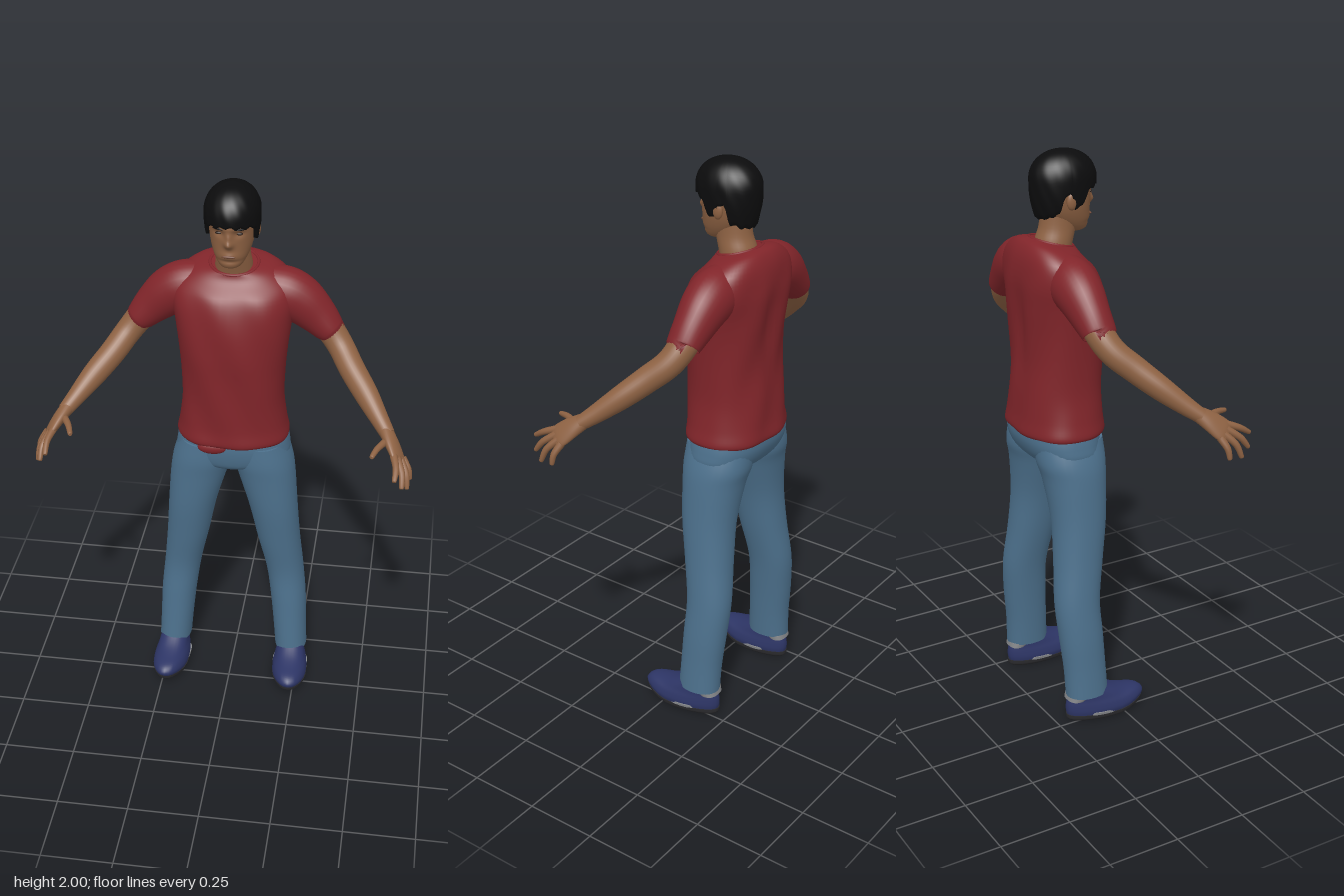
import * as THREE from 'three';

const paint = (name, color) => {
  const m = new THREE.MeshStandardMaterial({ color });
  m.name = name;
  return m;
};
const V = (x, y, z) => new THREE.Vector3(x, y, z);
const bump = (d, w) => Math.exp(-(d * d) / (w * w));

// Smooth interpolation between the rows of a section table
function refine(rows, sub) {
  const out = [];
  for (let i = 0; i < rows.length - 1; i++) {
    const a = rows[Math.max(i - 1, 0)], b = rows[i], c = rows[i + 1], d = rows[Math.min(i + 2, rows.length - 1)];
    for (let k = 0; k < sub; k++) {
      const t = k / sub;
      out.push(b.map((_, j) => 0.5 * (2 * b[j] + (c[j] - a[j]) * t + (2 * a[j] - 5 * b[j] + 4 * c[j] - d[j]) * t * t
        + (3 * b[j] - a[j] - 3 * c[j] + d[j]) * t * t * t)));
    }
  }
  out.push(rows[rows.length - 1]);
  return out;
}

// Skin a stack of closed rings of points, with a crisp cap on both ends
function skin(rings) {
  const n = rings[0].length, pos = [], idx = [];
  rings.forEach(r => r.forEach(p => pos.push(p.x, p.y, p.z)));
  for (let i = 0; i < rings.length - 1; i++) for (let j = 0; j < n; j++) {
    const a = i * n + j, b = i * n + (j + 1) % n;
    idx.push(a, b, a + n, b, b + n, a + n);
  }
  [[rings[0], true], [rings[rings.length - 1], false]].forEach(([r, first]) => {
    const base = pos.length / 3, mid = V(0, 0, 0);
    r.forEach(p => { pos.push(p.x, p.y, p.z); mid.addScaledVector(p, 1 / n); });
    pos.push(mid.x, mid.y, mid.z);
    for (let j = 0; j < n; j++) {
      const a = base + j, b = base + (j + 1) % n;
      first ? idx.push(b, a, base + n) : idx.push(a, b, base + n);
    }
  });
  const g = new THREE.BufferGeometry();
  g.setAttribute('position', new THREE.Float32BufferAttribute(pos, 3));
  g.setIndex(idx);
  g.computeVertexNormals();
  return g;
}

// Loft rows [x, y, z, radius u, radius v]; without ref the rings are horizontal
function loft(rows, { ref = null, seg = 28, sub = 5, power = 2, rule = null } = {}) {
  const s = refine(rows, sub), c = s.map(r => V(r[0], r[1], r[2]));
  return skin(s.map((r, i) => {
    const t = ref ? c[Math.min(i + 1, s.length - 1)].clone().sub(c[Math.max(i - 1, 0)]).normalize() : V(0, 1, 0);
    const u = (ref || V(1, 0, 0)).clone();
    u.addScaledVector(t, -u.dot(t)).normalize();
    const v = t.clone().cross(u);
    return Array.from({ length: seg }, (_, j) => {
      const a = j / seg * Math.PI * 2, e = 2 / power, f = w => Math.sign(w) * Math.abs(w) ** e;
      const p = c[i].clone().addScaledVector(u, f(Math.cos(a)) * r[3]).addScaledVector(v, f(Math.sin(a)) * r[4]);
      if (rule) rule(p);
      return p;
    });
  }));
}
// Horizontal row from centre x, height, front z, back z and half width
const slab = ([x, y, f, b, w]) => [x, y, (f + b) / 2, w, (f - b) / 2];

function mirrored(geo) {
  const g = geo.clone().scale(-1, 1, 1), k = g.index.array;
  for (let i = 0; i < k.length; i += 3) [k[i], k[i + 1]] = [k[i + 1], k[i]];
  return g;
}

export function createModel() {
  const man = new THREE.Group();
  man.name = 'standingMan';
  const skinTone = paint('skin', 0x8e6243), shirt = paint('shirtRed', 0x81252a), jeans = paint('jeansBlue', 0x4d718d),
    hair = paint('hairBlack', 0x0c0c0d), shoe = paint('shoeNavy', 0x2d3566), sole = paint('soleDark', 0x2a2a2d),
    trim = paint('trimGrey', 0x85878a), lip = paint('lipBrown', 0x744a36), eye = paint('eyeDark', 0x2b1d16);
  const add = (name, geo, mat) => {
    const m = new THREE.Mesh(geo, mat);
    m.name = name;
    man.add(m);
  };
  const pair = (name, geo, mat) => {
    add('left' + name, geo, mat);
    add('right' + name, mirrored(geo), mat);
  };
  const blob = (x, y, z, a, b, c) => new THREE.SphereGeometry(1, 20, 12).scale(a, b, c).translate(x, y, z);

  // Shirt body, with a neckline that dips at the front and soft folds
  add('shirtBody', loft([
    [0, 1.045, 0.016, -0.268, 0.194], [0, 1.06, 0.022, -0.274, 0.199], [0, 1.11, 0.018, -0.268, 0.189],
    [0, 1.2, 0.02, -0.262, 0.178], [0, 1.3, 0.023, -0.255, 0.18], [0, 1.4, 0.027, -0.257, 0.188],
    [0, 1.5, 0.022, -0.264, 0.2], [0, 1.58, 0.005, -0.268, 0.211], [0, 1.64, -0.025, -0.26, 0.195],
    [0, 1.68, -0.053, -0.235, 0.14], [0, 1.698, -0.06, -0.207, 0.086]].map(slab), {
    seg: 64, power: 2.35, rule: p => {
      const k = THREE.MathUtils.smoothstep(p.y, 1.6, 1.69);
      if (p.z < -0.13) p.z += 0.012 * bump(p.x, 0.035) * bump(p.y - 1.42, 0.16);
      p.z += 0.003 * Math.sin(p.x * 40 + p.y * 18) * (1 - k);
      p.y -= (p.z + 0.13) * 0.25 * k;
    }
  }), shirt);
  add('shirtTuck', blob(-0.06, 1.035, -0.004, 0.052, 0.024, 0.018), shirt);
  add('collar', new THREE.TorusGeometry(1, 0.07, 8, 40).rotateX(Math.PI / 2).scale(0.082, 0.09, 0.073)
    .rotateX(0.245).translate(0, 1.697, -0.133), shirt);
  pair('Sleeve', loft([[0.1, 1.6, -0.145, 0.085, 0.075], [0.17, 1.59, -0.146, 0.09, 0.082],
    [0.225, 1.563, -0.147, 0.084, 0.077], [0.28, 1.515, -0.145, 0.069, 0.066],
    [0.322, 1.472, -0.14, 0.054, 0.059], [0.327, 1.466, -0.14, 0.05, 0.055]], { ref: V(0.6, 0.8, 0) }), shirt);

  // Jeans
  add('jeansHips', loft([[0, 0.925, -0.04, -0.18, 0.07], [0, 0.945, -0.015, -0.22, 0.15], [0, 0.975, -0.004, -0.247, 0.2],
    [0, 1.02, 0.002, -0.264, 0.2], [0, 1.065, 0, -0.265, 0.19]].map(slab), { seg: 48, power: 2.4 }), jeans);
  pair('TrouserLeg', loft([[0.225, 0.097, -0.05, -0.206, 0.06], [0.218, 0.2, -0.056, -0.21, 0.062],
    [0.209, 0.32, -0.062, -0.222, 0.066], [0.193, 0.45, -0.066, -0.23, 0.069], [0.169, 0.6, -0.043, -0.218, 0.078],
    [0.148, 0.75, -0.02, -0.213, 0.088], [0.122, 0.89, -0.008, -0.228, 0.103], [0.107, 0.96, -0.002, -0.245, 0.106],
    [0.098, 1.03, -0.005, -0.245, 0.09]].map(slab), { seg: 32, power: 2.15 }), jeans);

  // Shoes: narrow heel, slightly lifted toe
  const last = p => {
    const t = THREE.MathUtils.clamp((p.z + 0.21) / 0.31, 0, 1);
    p.x = 0.222 + 0.014 * t + (p.x - 0.23) * (0.78 + 0.26 * Math.sin(t * 2.6));
    p.y += 0.018 * THREE.MathUtils.smoothstep(t, 0.6, 1);
  };
  pair('Shoe', loft([[0.23, 0.018, 0.088, -0.205, 0.06], [0.23, 0.036, 0.095, -0.209, 0.064],
    [0.23, 0.058, 0.075, -0.209, 0.061], [0.23, 0.08, 0.025, -0.205, 0.055], [0.23, 0.104, -0.03, -0.2, 0.051],
    [0.23, 0.12, -0.06, -0.197, 0.048]].map(slab), { rule: last, power: 2.2 }), shoe);
  pair('Sole', loft([[0.23, 0, 0.075, -0.2, 0.053], [0.23, 0.008, 0.088, -0.208, 0.061],
    [0.23, 0.022, 0.092, -0.209, 0.064]].map(slab), { rule: last, power: 2.2 }), sole);
  pair('ShoeSideTrim', loft([[0.23, 0.022, -0.02, -0.15, 0.065], [0.23, 0.032, -0.05, -0.14, 0.067]].map(slab),
    { rule: last, power: 3 }), trim);
  pair('HeelTrim', loft([[0.23, 0.082, -0.15, -0.208, 0.05], [0.23, 0.1, -0.12, -0.205, 0.054]].map(slab),
    { rule: last, power: 2.6 }), trim);

  // Arms and hands
  pair('Arm', loft([[0.25, 1.545, -0.147, 0.05, 0.05], [0.32, 1.473, -0.14, 0.048, 0.049], [0.368, 1.415, -0.115, 0.045, 0.046],
    [0.412, 1.361, -0.06, 0.044, 0.044], [0.468, 1.302, 0.003, 0.041, 0.039], [0.52, 1.246, 0.067, 0.031, 0.031],
    [0.552, 1.213, 0.108, 0.025, 0.025]], { ref: V(0.7, 0.7, 0) }), skinTone);
  pair('Palm', loft([[0.543, 1.222, 0.097, 0.026, 0.024], [0.567, 1.196, 0.133, 0.037, 0.021],
    [0.588, 1.168, 0.165, 0.042, 0.016], [0.597, 1.157, 0.18, 0.036, 0.009]], { ref: V(0.03, -0.035, -0.07) }), skinTone);
  const fingers = {
    Thumb: [[0.556, 1.205, 0.125], [0.524, 1.204, 0.182], [0.507, 1.197, 0.228]],
    IndexFinger: [[0.577, 1.18, 0.185], [0.588, 1.162, 0.232], [0.586, 1.138, 0.272]],
    MiddleFinger: [[0.589, 1.168, 0.178], [0.608, 1.137, 0.222], [0.611, 1.1, 0.252]],
    RingFinger: [[0.599, 1.157, 0.163], [0.621, 1.122, 0.197], [0.628, 1.078, 0.216]],
    LittleFinger: [[0.606, 1.15, 0.145], [0.628, 1.117, 0.16], [0.635, 1.083, 0.165]]
  };
  for (const [name, [a, b, c]] of Object.entries(fingers)) {
    const tip = c.map((v, i) => v + (c[i] - b[i]) * 0.08);
    pair(name, loft([[...a, 0.013, 0.013], [...b, 0.011, 0.011], [...c, 0.008, 0.008], [...tip, 0.003, 0.003]],
      { ref: V(1, 0.2, 0.1), seg: 12, sub: 4 }), skinTone);
  }

  // Neck and head, the face shaped by soft bumps
  add('neck', loft([[0, 1.64, -0.075, -0.19, 0.066], [0, 1.7, -0.058, -0.188, 0.063], [0, 1.75, -0.045, -0.172, 0.057],
    [0, 1.82, -0.04, -0.165, 0.056]].map(slab)), skinTone);
  add('head', loft([[0, 1.727, -0.018, -0.07, 0.024], [0, 1.737, -0.004, -0.1, 0.04], [0, 1.765, 0.004, -0.14, 0.057],
    [0, 1.8, 0.005, -0.168, 0.069], [0, 1.84, 0.008, -0.185, 0.076], [0, 1.88, 0.014, -0.193, 0.08],
    [0, 1.93, 0.012, -0.19, 0.08], [0, 1.965, -0.02, -0.17, 0.06], [0, 1.98, -0.06, -0.13, 0.03]].map(slab), {
    seg: 96, sub: 8, power: 2.1, rule: p => {
      if (p.z < -0.06) return;
      const x = Math.abs(p.x), y = p.y;
      p.z += 0.021 * bump(x, 0.014) * bump(y - 1.823, 0.014) + 0.012 * bump(x, 0.011) * bump(y - 1.847, 0.018)
        - 0.009 * bump(x - 0.033, 0.017) * bump(y - 1.858, 0.012) + 0.004 * bump(x, 0.05) * bump(y - 1.879, 0.01)
        + 0.005 * bump(x, 0.026) * bump(y - 1.779, 0.012) - 0.005 * bump(x, 0.04) * bump(y - 1.758, 0.007);
    }
  }), skinTone);
  pair('Ear', blob(0.08, 1.842, -0.098, 0.012, 0.03, 0.019), skinTone);
  pair('Eye', blob(0.033, 1.858, -0.006, 0.013, 0.005, 0.007), eye);
  pair('Eyebrow', blob(0, 0, 0, 0.02, 0.0035, 0.005).rotateY(0.35).translate(0.034, 1.877, 0.006), hair);
  add('lips', blob(0, 1.779, 0.008, 0.023, 0.005, 0.005), lip);

  // Hair: a dome whose lower edge follows a hairline
  const line = [[0, 1.888], [0.7, 1.882], [1.1, 1.872], [1.35, 1.822], [1.58, 1.818], [1.72, 1.865], [1.9, 1.862], [2.1, 1.8],
    [2.6, 1.785], [3.2, 1.78]];
  const edge = a => {
    const k = line.findIndex(r => r[0] > a), [p, q] = [line[k - 1], line[k]];
    return THREE.MathUtils.lerp(p[1], q[1], THREE.MathUtils.smoothstep(a, p[0], q[0]));
  };
  const seg = 96, rows = 22, rings = [];
  for (let i = -1; i <= rows; i++) rings.push(Array.from({ length: seg }, (_, j) => {
    const turn = j / seg * Math.PI * 2, a = Math.min(turn, Math.PI * 2 - turn);
    const low = edge(a) + 0.004 * Math.sin(turn * 17), t = Math.max(i, 0) / rows;
    const y = low + (1.999 - low) * Math.sin(t * Math.PI / 2);
    const h = y - 1.905;
    let r = h > 0 ? Math.sqrt(Math.max(0, 1 - (h / 0.0945) ** 2)) ** 0.9 : 1 - 11 * h * h;
    r *= i < 0 ? 0.84 : 1 + 0.008 * Math.sin(turn * 13 + y * 60) * (1 - t);
    return V(Math.sin(turn) * 0.094 * r, y, -0.088 + Math.cos(turn) * 0.117 * r);
  }));
  add('hair', skin(rings), hair);
  return man;
}
